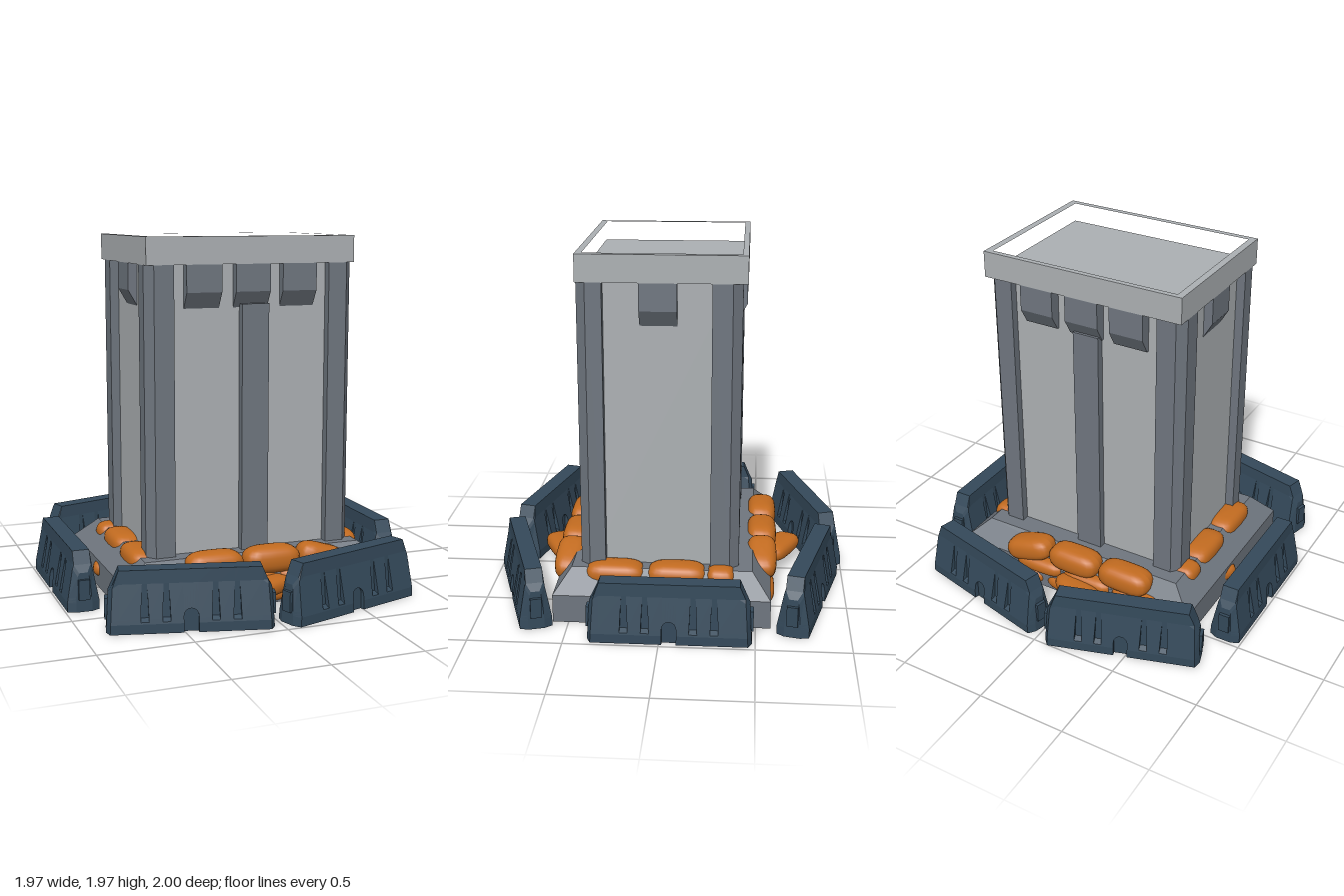
import * as THREE from 'three';

const lightStone = new THREE.MeshStandardMaterial({ color: 0xacb0b3, name: 'lightStone' });
const greyStone = new THREE.MeshStandardMaterial({ color: 0x6f767f, name: 'greyStone', side: THREE.DoubleSide });
const barrierBlue = new THREE.MeshStandardMaterial({ color: 0x34495a, name: 'barrierBlue' });
const sackOrange = new THREE.MeshStandardMaterial({ color: 0xc26b20, name: 'sackOrange' });

function add(parent, name, geometry, material, x = 0, y = 0, z = 0, ry = 0) {
  const mesh = new THREE.Mesh(geometry, material);
  mesh.name = name;
  mesh.position.set(x, y, z);
  mesh.rotation.y = ry;
  parent.add(mesh);
  return mesh;
}

// Box given by its two extreme corners
function block(parent, name, material, [x0, y0, z0], [x1, y1, z1]) {
  return add(parent, name, new THREE.BoxGeometry(x1 - x0, y1 - y0, z1 - z0), material,
    (x0 + x1) / 2, (y0 + y1) / 2, (z0 + z1) / 2);
}

// Flat-faced skin through loops of [x, y, z] points
function loft(loops, capStart, capEnd) {
  const pos = [];
  const tri = (a, b, c) => pos.push(...a, ...b, ...c);
  const n = loops[0].length;
  for (let s = 0; s < loops.length - 1; s++) {
    const a = loops[s], b = loops[s + 1];
    for (let i = 0; i < n; i++) {
      const j = (i + 1) % n;
      tri(a[i], b[i], b[j]);
      tri(a[i], b[j], a[j]);
    }
  }
  const first = loops[0], last = loops[loops.length - 1];
  for (let i = 1; i < n - 1; i++) {
    if (capStart) tri(first[0], first[i], first[i + 1]);
    if (capEnd) tri(last[0], last[i + 1], last[i]);
  }
  const g = new THREE.BufferGeometry();
  g.setAttribute('position', new THREE.Float32BufferAttribute(pos, 3));
  g.computeVertexNormals();
  return g;
}

// Plan outline of [x, z] points raised from y0 to y1
function prism(points, y0, y1, hole) {
  const toV = (p) => new THREE.Vector2(p[0], -p[1]);
  const shape = new THREE.Shape(points.map(toV));
  if (hole) shape.holes.push(new THREE.Path(hole.map(toV)));
  return new THREE.ExtrudeGeometry(shape, { depth: y1 - y0, bevelEnabled: false })
    .rotateX(-Math.PI / 2).translate(0, y0, 0);
}

const rect = (x0, x1, z0, z1) => [[x0, z0], [x1, z0], [x1, z1], [x0, z1]];

// Road barrier running along x: tapered sides, tapering grooves, arched drain
function barrierGeometry() {
  const outer = (y) => 0.087 - 0.037 * Math.max(0, y - 0.05) / 0.2;
  const loops = [];
  const section = (u, profile, scale = 1, lean = 0) => {
    const pts = profile.map(([w, y]) => [u + lean * Math.min(y, 0.25), y, w * scale]);
    loops.push([...pts, ...pts.map(([x, y, w]) => [x, y, -w]).reverse()]);
  };
  const plain = (top = 0.32) => {
    const shoulder = Math.min(0.25, top - 0.02);
    return [[0.087, 0], [0.087, 0.05], [outer(0.06), 0.06], [outer(0.075), 0.075],
      [outer(shoulder), shoulder], [Math.min(0.046, outer(shoulder)), top]];
  };
  const groove = [[0.087, 0], [0.087, 0.05], [outer(0.06), 0.06], [0.056, 0.075], [0.05, 0.25], [0.046, 0.32]];
  const cutGroove = (u) => {
    section(u - 0.024, plain(), 1, 0.045);
    section(u - 0.024, groove, 1, 0.045);
    section(u + 0.024, groove, 1, -0.045);
    section(u + 0.024, plain(), 1, -0.045);
  };
  section(-0.43, plain(0.21), 0.5, 0.06);
  section(-0.41, plain(0.25), 1, 0.06);
  section(-0.365, plain());
  cutGroove(-0.235);
  cutGroove(-0.125);
  // Arched drain in the middle
  section(-0.038, plain());
  for (let i = 0; i <= 8; i++) {
    const u = -0.038 * Math.cos(i * Math.PI / 8);
    const h = 0.085 + Math.sqrt(Math.max(0, 0.038 ** 2 - u * u));
    section(u, [[0.062, 0], [0.062, 0.05], [0.062, h], [outer(h), h], [0.05, 0.25], [0.046, 0.32]]);
  }
  section(0.038, plain());
  cutGroove(0.125);
  cutGroove(0.235);
  section(0.365, plain());
  section(0.41, plain(0.25), 1, -0.06);
  section(0.43, plain(0.21), 0.5, -0.06);
  return loft(loops, true, true);
}

// Plump sack: a sphere squared off towards a box
function sackGeometry() {
  const g = new THREE.SphereGeometry(1, 20, 14);
  const p = g.attributes.position;
  const soft = (v, k) => Math.sign(v) * Math.abs(v) ** k;
  for (let i = 0; i < p.count; i++) {
    p.setXYZ(i, soft(p.getX(i), 0.55) / 2, soft(p.getY(i), 0.85) / 2, soft(p.getZ(i), 0.65) / 2);
  }
  g.computeVertexNormals();
  return g;
}

export function createModel() {
  const model = new THREE.Group();
  model.name = 'fortifiedTower';

  // Hollow sloped plinth
  const ring = (x0, x1, z0, z1, y) => rect(x0, x1, z0, z1).map(([x, z]) => [x, y, z]);
  add(model, 'plinth', loft([
    ring(-0.725, 0.762, -0.58, 0.585, 0), ring(-0.725, 0.762, -0.58, 0.585, 0.155),
    ring(-0.6, 0.64, -0.48, 0.495, 0.27)], false, true), greyStone);

  // Supports beneath the plinth
  for (const sx of [-1, 1]) for (const sz of [-1, 1]) {
    block(model, 'foot', lightStone, [sx * 0.4 - 0.05, 0, sz * 0.31 - 0.05], [sx * 0.4 + 0.05, 0.1, sz * 0.31 + 0.05]);
    add(model, 'post', new THREE.CylinderGeometry(0.036, 0.036, 0.27, 16), sackOrange, sx * 0.235, 0.135, sz * 0.19);
  }

  // Tower shaft with chamfered corner pillars and middle pillars
  block(model, 'shaft', lightStone, [-0.517, 0.265, -0.36], [0.56, 1.83, 0.4]);
  for (const [side, x, inX] of [[-1, -0.567, -0.416], [1, 0.61, 0.463]]) {
    for (const [dir, z, inZ] of [[1, 0.449, 0.313], [-1, -0.405, -0.25]]) {
      const cx = x - side * 0.042, cz = z - dir * 0.05;
      add(model, 'cornerPillar', prism([[inX, inZ], [x, inZ], [x, cz], [cx, z], [inX, z]], 0.265, 1.82), greyStone);
    }
  }
  block(model, 'frontPillar', greyStone, [-0.037, 0.265, 0.39], [0.116, 1.61, 0.447]);
  block(model, 'backPillar', greyStone, [-0.07, 0.265, -0.403], [0.083, 1.61, -0.35]);

  // Brackets under the cap
  const profile = new THREE.Shape([[-0.02, 1.82], [0.054, 1.82], [0.054, 1.675], [0.004, 1.59], [-0.02, 1.59]]
    .map((p) => new THREE.Vector2(...p)));
  const bracket = new THREE.ExtrudeGeometry(profile, { depth: 0.196, bevelEnabled: false })
    .translate(0, 0, -0.098).rotateY(-Math.PI / 2);
  for (const x of [-0.25, 0.025, 0.292]) {
    add(model, 'frontBracket', bracket, greyStone, x, 0, 0.396);
    add(model, 'backBracket', bracket, greyStone, 0.043 - x, 0, -0.372, Math.PI);
  }
  add(model, 'rightBracket', bracket, greyStone, -0.513, 0, 0.02, -Math.PI / 2);
  add(model, 'leftBracket', bracket, greyStone, 0.556, 0, 0.027, Math.PI / 2);

  // Tray-shaped cap
  add(model, 'capRim', prism(rect(-0.567, 0.61, -0.43, 0.45), 1.82, 1.965, rect(-0.528, 0.57, -0.4, 0.415)), lightStone);
  block(model, 'capFloor', lightStone, [-0.54, 1.821, -0.41], [0.58, 1.855, 0.425]);

  // Sacks piled around the plinth
  const sack = sackGeometry();
  const addSack = (x, y, z, length, ry = 0, height = 0.13, tilt = 0) => {
    const m = add(model, 'sack', sack, sackOrange, x, y, z, ry);
    m.scale.set(length, height, 0.17);
    m.rotation.z = tilt;
  };
  for (const [dir, z, shift] of [[1, 0.535, 0], [-1, -0.53, -0.08]]) {
    addSack(-0.23 + shift, 0.235, z, 0.32, 0, 0.15);
    addSack(0.097 + shift, 0.235, z, 0.32, 0, 0.15);
    addSack(0.4 + shift, 0.215, z, 0.3, 0, 0.14, -0.3);
    for (const x of [-0.36, -0.04, 0.28]) {
      addSack(x + shift / 2, 0.14, z, 0.32, 0, 0.1);
      addSack(x + 0.08, 0.05, z - dir * 0.01, 0.32, 0, 0.1);
    }
    addSack(0.02 + shift, 0.115, dir * 0.635, 0.33, dir > 0 ? 0.45 : -0.45, 0.1);
  }
  for (const [dir, x] of [[-1, -0.565], [1, 0.615]]) {
    addSack(x, 0.235, 0.26, 0.32, Math.PI / 2);
    addSack(x, 0.235, -0.073, 0.32, Math.PI / 2);
    addSack(x, 0.23, -0.31, 0.15, Math.PI / 2, 0.12);
    for (const z of [-0.27, 0.05, 0.33]) {
      addSack(x, 0.14, z, 0.31, Math.PI / 2, 0.1);
      addSack(x, 0.05, z - 0.06, 0.31, Math.PI / 2, 0.1);
    }
    addSack(x + dir * 0.075, 0.1, -0.08, 0.26, 1.1, 0.1);
  }

  // Ring of six barriers: x, z, turn
  const body = barrierGeometry();
  const deg = Math.PI / 180;
  for (const [x, z, turn] of [[-0.45, 0.782, -14], [0.44, 0.787, 17.5], [-0.45, -0.797, 17.5],
    [0.437, -0.793, -13.7], [-0.902, -0.053, 90], [0.892, -0.053, 90]]) {
    const barrier = new THREE.Group();
    barrier.name = 'barrier';
    barrier.position.set(x, 0, z);
    barrier.rotation.y = turn * deg;
    add(barrier, 'barrierBody', body, barrierBlue);
    for (const s of [-1, 1]) {
      add(barrier, 'barrierTab', new THREE.BoxGeometry(0.04, 0.11, 0.06), barrierBlue, s * 0.417, 0.12, 0);
    }
    model.add(barrier);
  }
  return model;
}
